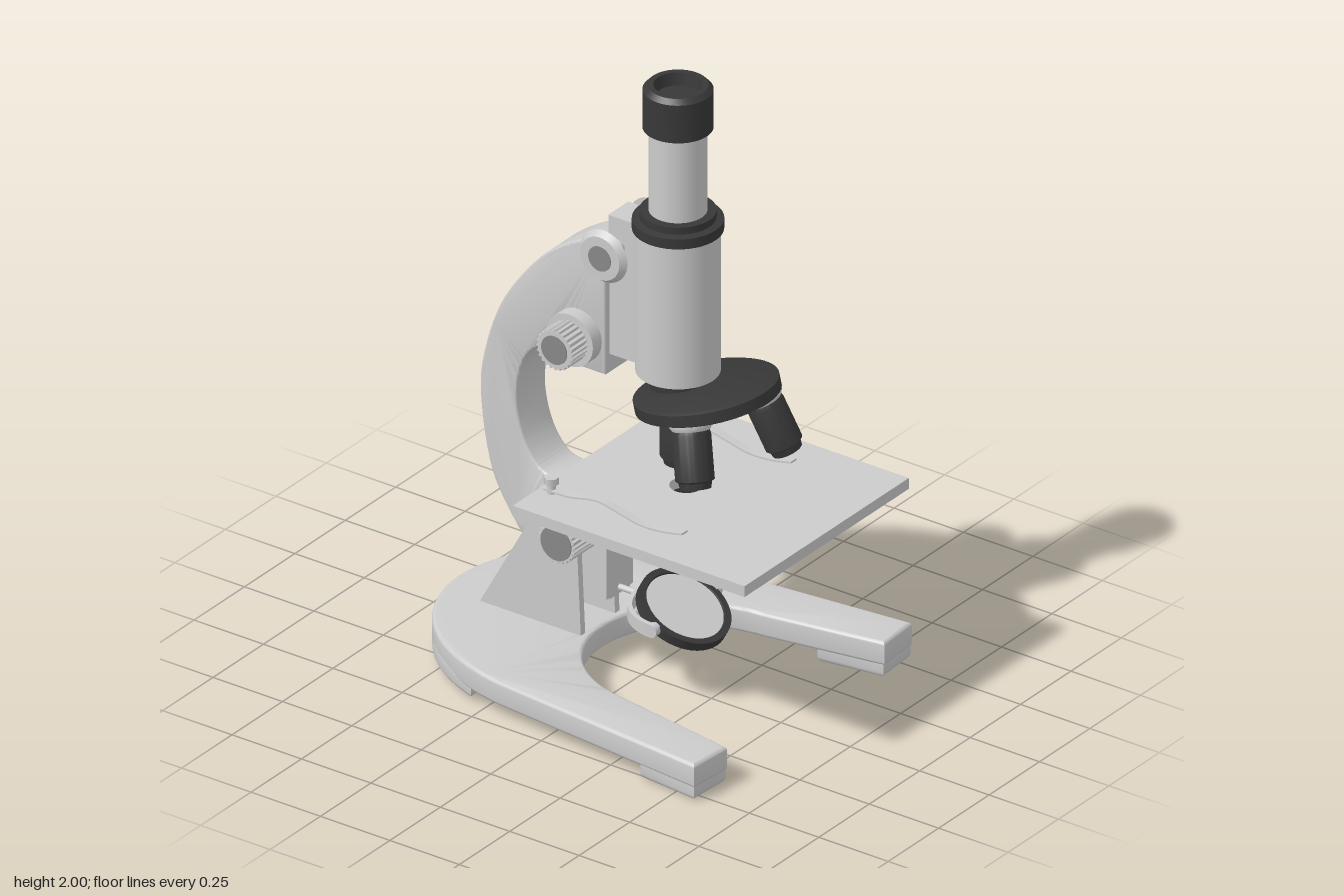
import * as THREE from 'three';
import { toCreasedNormals } from 'three/addons/utils/BufferGeometryUtils.js';

const grey = new THREE.MeshStandardMaterial({ color: 0xcccccc, side: THREE.DoubleSide });
const dark = new THREE.MeshStandardMaterial({ color: 0x383838, side: THREE.DoubleSide });
const mid = new THREE.MeshStandardMaterial({ color: 0x888888 });
const V = (x, y) => new THREE.Vector2(x, y);

export function createModel() {
  const model = new THREE.Group();

  const add = (name, geo, x = 0, y = 0, z = 0, mat = grey, parent = model) => {
    const mesh = new THREE.Mesh(geo, mat);
    mesh.name = name;
    mesh.position.set(x, y, z);
    parent.add(mesh);
    return mesh;
  };
  const box = (w, h, d) => new THREE.BoxGeometry(w, h, d);
  const cyl = (r1, r2, h, n = 40) => new THREE.CylinderGeometry(r1, r2, h, n);
  const cylZ = (r1, r2, h, n = 40) => cyl(r1, r2, h, n).rotateX(Math.PI / 2);
  const lathe = (pts) =>
    toCreasedNormals(new THREE.LatheGeometry(pts.map((p) => V(p[0], p[1])), 48), 0.6);

  // Extrusion centred on z = 0, with an optional bevel that keeps the outline size
  const extrude = (shape, depth, bevel = 0) => {
    const geo = new THREE.ExtrudeGeometry(shape, {
      depth: depth - 2 * bevel, curveSegments: 24, bevelEnabled: bevel > 0,
      bevelSize: bevel, bevelThickness: bevel, bevelOffset: -bevel, bevelSegments: 4,
    });
    geo.translate(0, 0, bevel - depth / 2);
    return toCreasedNormals(geo, 0.6);
  };
  // Horizontal slab whose shape is drawn in (x, z)
  const slab = (shape, depth, bevel) => extrude(shape, depth, bevel).rotateX(Math.PI / 2);

  // Horseshoe base
  const base = new THREE.Shape();
  base.moveTo(0.58, -0.54);
  base.lineTo(0.59, -0.39);
  base.lineTo(0.2, -0.325);
  base.bezierCurveTo(-0.02, -0.31, -0.14, -0.16, -0.14, 0);
  base.bezierCurveTo(-0.14, 0.16, -0.02, 0.31, 0.2, 0.325);
  base.lineTo(0.59, 0.39);
  base.lineTo(0.58, 0.54);
  base.lineTo(-0.18, 0.465);
  base.bezierCurveTo(-0.48, 0.42, -0.66, 0.22, -0.66, 0);
  base.bezierCurveTo(-0.66, -0.22, -0.48, -0.42, -0.18, -0.465);
  base.closePath();
  add('base', slab(base, 0.08, 0.012), 0, 0.082);

  // Feet under the back and under each tip
  const backFoot = new THREE.Shape();
  backFoot.moveTo(-0.3, 0.435);
  backFoot.bezierCurveTo(-0.52, 0.37, -0.655, 0.2, -0.655, 0);
  backFoot.bezierCurveTo(-0.655, -0.2, -0.52, -0.37, -0.3, -0.435);
  backFoot.closePath();
  add('backFoot', slab(backFoot, 0.06, 0.015), 0, 0.045);
  for (const s of [-1, 1]) {
    const foot = new THREE.Shape([V(0.37, s * 0.36), V(0.585, s * 0.392), V(0.577, s * 0.537), V(0.37, s * 0.517)]);
    add('tipFoot', slab(foot, 0.075, 0.018), 0, 0.0375);
  }

  // Pillar plates and hinge bolt
  const plate = new THREE.Shape();
  plate.moveTo(-0.52, 0.11);
  plate.lineTo(-0.33, 0.455);
  plate.quadraticCurveTo(-0.305, 0.51, -0.25, 0.51);
  plate.quadraticCurveTo(-0.17, 0.5, -0.165, 0.43);
  plate.lineTo(-0.15, 0.11);
  plate.closePath();
  for (const s of [-1, 1]) {
    add('pillarPlate', extrude(plate, 0.022), 0, 0, s * 0.085);
    add('hingeBolt', cylZ(0.058, 0.058, 0.045, 6), -0.255, 0.44, s * 0.118);
  }

  // Curved arm
  const arm = new THREE.Shape();
  arm.moveTo(-0.08, 1.45);
  arm.splineThru([V(-0.19, 1.41), V(-0.32, 1.31), V(-0.45, 1.13), V(-0.518, 0.93),
    V(-0.527, 0.77), V(-0.485, 0.55), V(-0.39, 0.39)]);
  arm.lineTo(-0.3, 0.36);
  arm.lineTo(-0.19, 0.36);
  arm.lineTo(-0.19, 0.62);
  arm.splineThru([V(-0.25, 0.6), V(-0.32, 0.62), V(-0.375, 0.7), V(-0.4, 0.82),
    V(-0.38, 0.94), V(-0.33, 1.01), V(-0.26, 1.025), V(-0.22, 1.0)]);
  arm.lineTo(-0.08, 1.0);
  arm.closePath();
  add('arm', extrude(arm, 0.15, 0.008));

  // Rack housing, its pinion discs and the focus knobs
  add('rackHousing', box(0.13, 0.46, 0.1), -0.02, 1.29);
  add('pinionShaft', cylZ(0.024, 0.024, 0.26), -0.05, 1.425);
  const knurl = new THREE.Shape();
  for (let i = 0; i < 96; i++) {
    const a = (i / 96) * Math.PI * 2, r = i % 4 < 2 ? 0.066 : 0.06;
    knurl[i ? 'lineTo' : 'moveTo'](r * Math.cos(a), r * Math.sin(a));
  }
  for (const s of [-1, 1]) {
    add('pinionDisc', cylZ(s > 0 ? 0.07 : 0.085, s > 0 ? 0.085 : 0.07, 0.02), -0.05, 1.425, s * 0.13);
    add('pinionCap', cylZ(0.04, 0.04, 0.006), -0.05, 1.425, s * 0.14, mid);
    add('focusFlange', cylZ(0.085, 0.085, 0.045), -0.175, 1.105, s * 0.097);
    add('focusKnob', extrude(knurl, 0.09), -0.175, 1.105, s * 0.148);
    add('focusCap', cylZ(0.046, 0.046, 0.004), -0.175, 1.105, s * 0.194, mid);
  }

  // Body tube, collar, draw tube and eyepiece
  const axis = 0.13;
  add('bodyTube', cyl(0.125, 0.125, 0.475, 48), axis, 1.2925);
  add('collar', lathe([[0, 1.525], [0.135, 1.525], [0.135, 1.558], [0.113, 1.562], [0.113, 1.585], [0, 1.585]]),
    axis, 0, 0, dark);
  add('drawTube', cyl(0.086, 0.086, 0.3, 48), axis, 1.72);
  add('eyepiece', lathe([[0, 1.86], [0.104, 1.86], [0.104, 1.985], [0.09, 2], [0.072, 2], [0.066, 1.96], [0, 1.96]]),
    axis, 0, 0, dark);

  // Tilted nosepiece with three objectives
  const tilt = 0.23;
  add('nosepieceNeck', cyl(0.09, 0.09, 0.09), 0.14, 1.015, 0, dark);
  const nose = new THREE.Group();
  nose.name = 'nosepiece';
  nose.position.set(0.235, 1.01, 0);
  nose.rotation.z = tilt;
  model.add(nose);
  add('nosepieceDisc', lathe([[0, -0.035], [0.12, -0.035], [0.205, -0.024], [0.218, -0.018],
    [0.218, 0.018], [0.2, 0.026], [0, 0.03]]), 0, 0, 0, dark, nose);
  for (const [deg, r] of [[180, 0.11], [80, 0.125], [-45, 0.15]]) {
    const turn = new THREE.Group();
    turn.name = 'objective';
    turn.rotation.y = -THREE.MathUtils.degToRad(deg);
    nose.add(turn);
    const lens = new THREE.Group();
    lens.position.set(r, -0.03, 0);
    lens.rotation.z = tilt;
    turn.add(lens);
    add('objectiveRing', lathe([[0, 0.02], [0.064, 0.02], [0.064, -0.02], [0.056, -0.032], [0, -0.032]]),
      0, 0, 0, grey, lens);
    add('objectiveBarrel', lathe([[0.053, -0.03], [0.058, -0.045], [0.058, -0.18], [0.05, -0.185],
      [0.046, -0.205], [0.024, -0.205], [0.018, -0.195], [0, -0.195]]), 0, 0, 0, dark, lens);
  }

  // Stage with its light hole
  const stage = new THREE.Shape([V(-0.175, -0.415), V(0.66, -0.415), V(0.66, 0.4), V(-0.175, 0.4)]);
  const hole = new THREE.Path();
  hole.absarc(0.16, 0, 0.05, 0, Math.PI * 2, true);
  stage.holes.push(hole);
  add('stage', slab(stage, 0.036), 0, 0.662);

  // Spring clips held by hexagonal screws
  const wave = new THREE.SplineCurve([V(-0.15, 0.695), V(-0.06, 0.697), V(0.04, 0.716),
    V(0.12, 0.702), V(0.2, 0.686), V(0.28, 0.69), V(0.35, 0.704)]).getPoints(36);
  const strip = new THREE.Shape([...wave, ...wave.slice().reverse().map((p) => V(p.x, p.y - 0.006))]);
  for (const s of [-1, 1]) {
    add('stageClip', extrude(strip, 0.028), 0, 0, s * 0.27);
    add('clipPost', cyl(0.013, 0.013, 0.04, 16), -0.13, 0.695, s * 0.27);
    add('clipScrew', cyl(0.023, 0.023, 0.022, 6), -0.13, 0.722, s * 0.27);
  }

  // Condenser rings under the stage
  add('condenser', lathe([[0.1, 0.645], [0.14, 0.645], [0.14, 0.612], [0.15, 0.606], [0.15, 0.578], [0.14, 0.572],
    [0.14, 0.568], [0.15, 0.564], [0.15, 0.532], [0.118, 0.532], [0.118, 0.575], [0.1, 0.58], [0.1, 0.645]]),
    0.17, 0, 0, dark);

  // Stage support, slide column and its knob
  add('stageBracket', box(0.15, 0.028, 0.2), -0.115, 0.63);
  const wedge = new THREE.Shape([V(-0.19, 0.617), V(-0.045, 0.617), V(-0.075, 0.58), V(-0.16, 0.58)]);
  add('bracketWedge', extrude(wedge, 0.16));
  add('slideColumn', box(0.11, 0.34, 0.13), -0.135, 0.42);
  add('slideFoot', box(0.07, 0.05, 0.1), -0.115, 0.27);
  add('stageKnobFlange', cylZ(0.052, 0.052, 0.08), -0.12, 0.51, 0.105);
  add('stageKnob', extrude(knurl, 0.12), -0.12, 0.51, 0.2);
  add('stageKnobCap', cylZ(0.055, 0.055, 0.004), -0.12, 0.51, 0.261, mid);

  // Mirror on its fork
  add('mirrorRod', cyl(0.01, 0.01, 0.13, 16).rotateZ(Math.PI / 2), -0.05, 0.265);
  const fork = new THREE.Shape();
  fork.absarc(0, 0, 0.165, Math.PI / 2, Math.PI * 1.5, false);
  fork.absarc(0, 0, 0.15, Math.PI * 1.5, Math.PI / 2, true);
  fork.closePath();
  add('mirrorFork', slab(fork, 0.042), 0.15, 0.263);
  for (const s of [-1, 1]) add('forkPivot', cylZ(0.021, 0.021, 0.025, 20), 0.15, 0.263, s * 0.153);
  const mirror = new THREE.Group();
  mirror.name = 'mirror';
  mirror.position.set(0.15, 0.265, 0);
  mirror.rotation.z = -0.5;
  model.add(mirror);
  add('mirrorRim', lathe([[0, -0.016], [0.145, -0.016], [0.145, 0.016], [0.125, 0.016], [0.122, 0.008], [0, 0.008]]),
    0, 0, 0, dark, mirror);
  add('mirrorGlass', cyl(0.122, 0.122, 0.004, 48), 0, 0.01, 0, grey, mirror);

  return model;
}
